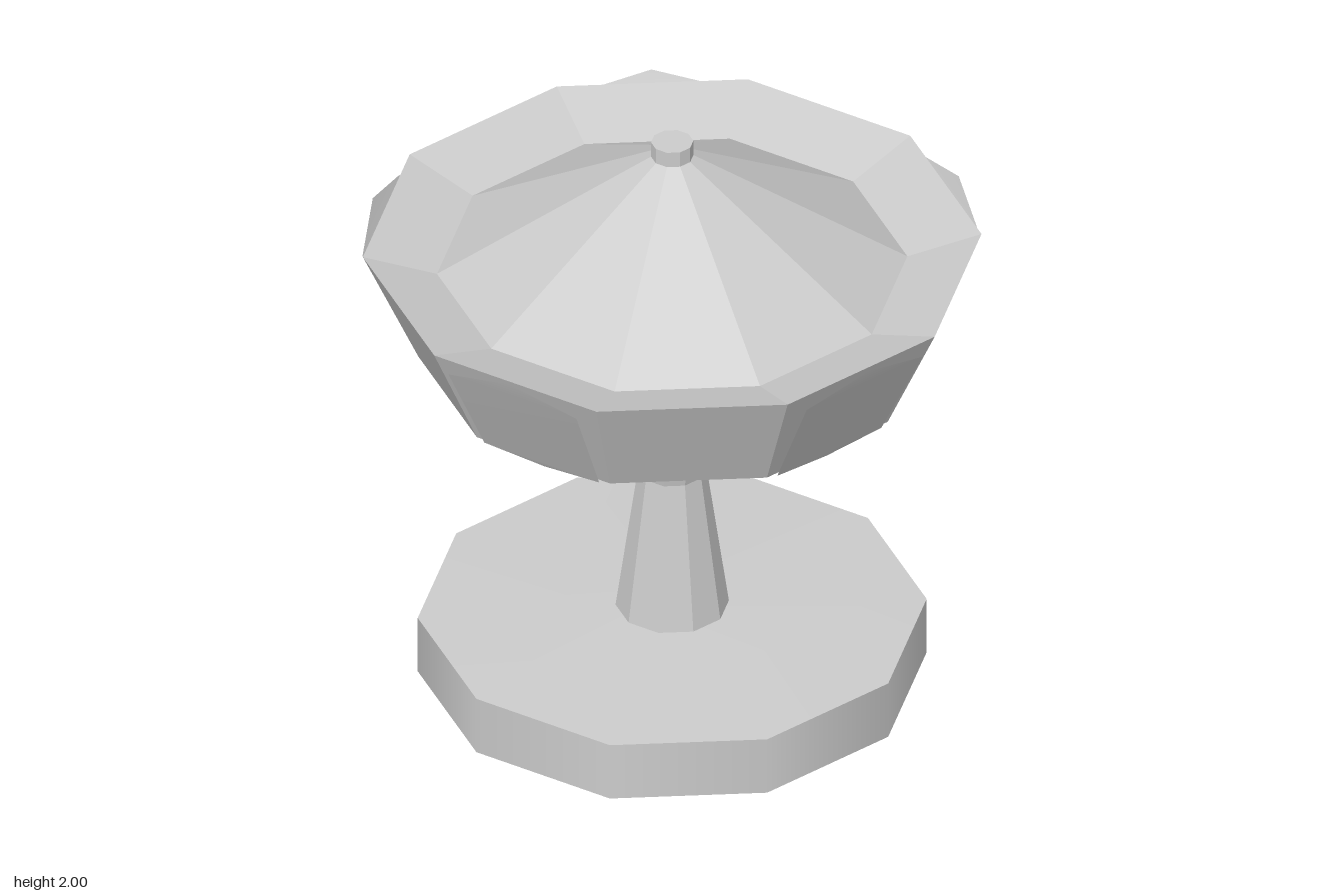
import * as THREE from 'three';

const SIDES = 10;
const AXIS_Z = 0.018;

export function createModel() {
  const group = new THREE.Group();
  const flat = new THREE.MeshStandardMaterial({ color: 0xcccccc, flatShading: true, side: THREE.DoubleSide });
  const smooth = new THREE.MeshStandardMaterial({ color: 0xcccccc, side: THREE.DoubleSide });

  // Ten-sided surface of revolution with corners on the x axis
  function turned(name, profile, material = flat) {
    const points = profile.map(([r, y]) => new THREE.Vector2(r, y));
    const mesh = new THREE.Mesh(new THREE.LatheGeometry(points, SIDES, Math.PI / SIDES), material);
    mesh.name = name;
    mesh.position.z = AXIS_Z;
    group.add(mesh);
  }

  // Base: hollow underneath, with a hole below the stem
  turned('baseWall', [[0.817, 0], [0.817, 0.205]], smooth);
  turned('baseTop', [[0.817, 0.205], [0.182, 0.228]], smooth);

  // Waisted stem
  turned('stem', [[0.182, 0.228], [0.11, 0.745], [0.2, 1.187]]);

  // Bowl: underside, flared wall and rim sloping inwards
  turned('bowl', [[0.2, 1.187], [0.815, 1.21], [0.993, 1.6], [0.755, 1.525]]);

  // Conical roof and its finial
  turned('roof', [[0.755, 1.525], [0.068, 1.945]]);
  turned('finial', [[0.068, 1.94], [0.068, 2], [0, 2]]);

  // Thin six-cornered panels on every other side of the bowl: [across, y, distance from axis]
  const corners = [
    [0, 1.185, 0.771], [0.217, 1.207, 0.785], [0.242, 1.56, 0.962],
    [0, 1.622, 0.989], [-0.242, 1.56, 0.962], [-0.217, 1.207, 0.785],
  ];
  const panelGeometry = new THREE.BufferGeometry();
  panelGeometry.setAttribute('position', new THREE.Float32BufferAttribute(corners.flat(), 3));
  panelGeometry.setIndex([0, 1, 5, 1, 2, 5, 2, 4, 5, 2, 3, 4]);
  panelGeometry.computeVertexNormals();
  for (let i = 0; i < 5; i++) {
    const panel = new THREE.Mesh(panelGeometry, smooth);
    panel.name = 'sidePanel' + (i + 1);
    panel.position.z = AXIS_Z;
    panel.rotation.y = Math.PI + (i * Math.PI * 2) / 5;
    group.add(panel);
  }

  return group;
}
